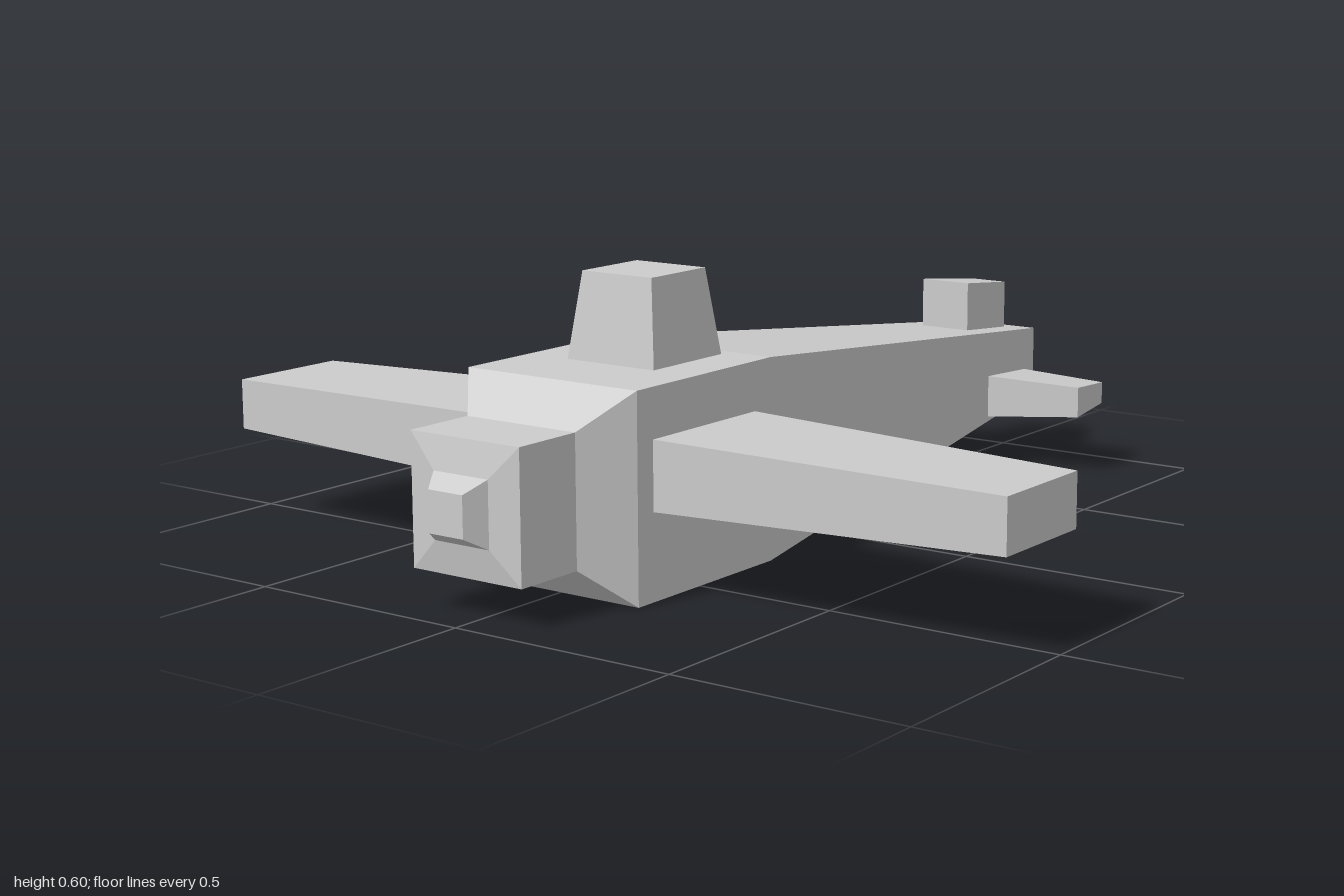
import * as THREE from 'three';

const material = new THREE.MeshStandardMaterial({ color: 0xcccccc, flatShading: true });

// Skins a row of four-cornered rings and caps both ends.
// Corners run counter-clockwise when seen from the end of the row.
function loft(name, rings) {
  const positions = [];
  const quad = (a, b, c, d) => positions.push(...a, ...b, ...c, ...a, ...c, ...d);
  for (let s = 0; s < rings.length - 1; s++) {
    for (let i = 0; i < 4; i++) {
      const j = (i + 1) % 4;
      quad(rings[s][i], rings[s][j], rings[s + 1][j], rings[s + 1][i]);
    }
  }
  const first = rings[0];
  quad(first[3], first[2], first[1], first[0]);
  quad(...rings[rings.length - 1]);

  const geometry = new THREE.BufferGeometry();
  geometry.setAttribute('position', new THREE.Float32BufferAttribute(positions, 3));
  geometry.computeVertexNormals();
  const mesh = new THREE.Mesh(geometry, material);
  mesh.name = name;
  return mesh;
}

// Upright rectangle across the body
const bodyRing = ([z, x0, x1, y0, y1]) => [[x0, y0, z], [x1, y0, z], [x1, y1, z], [x0, y1, z]];

// Wing section: rear and front edge, each as [x, z, bottom, top]
const wingRing = ([xr, zr, br, tr], [xf, zf, bf, tf]) =>
  [[xr, br, zr], [xr, tr, zr], [xf, tf, zf], [xf, bf, zf]];

// Level section: rear and front edge, each as [z, x0, x1, y]
const levelRing = ([zr, r0, r1, yr], [zf, f0, f1, yf]) =>
  [[r0, yr, zr], [f0, yf, zf], [f1, yf, zf], [r1, yr, zr]];

// Wing from root to tip; the ring order flips on the right side
function wing(name, root, tip) {
  const rings = [wingRing(...root), wingRing(...tip)];
  if (tip[0][0] < 0) rings.forEach((ring) => ring.reverse());
  return loft(name, rings);
}

export function createModel() {
  const model = new THREE.Group();
  model.name = 'airplane';

  // Fuselage, from tail to the front of the engine block
  model.add(loft('fuselage', [
    [-1.0, -0.115, 0.08, 0.135, 0.295],
    [0.26, -0.228, 0.193, 0.0, 0.422],
    [0.695, -0.228, 0.193, 0.0, 0.422],
    [0.785, -0.152, 0.116, 0.08, 0.348],
    [0.945, -0.152, 0.116, 0.08, 0.348],
    [0.958, -0.084, 0.05, 0.147, 0.281],
    [1.0, -0.06, 0.024, 0.172, 0.256],
  ].map(bodyRing)));

  // Main wings
  model.add(wing('leftWing',
    [[0.19, 0.315, 0.178, 0.32], [0.19, 0.647, 0.178, 0.32]],
    [[0.947, 0.355, 0.195, 0.305], [0.947, 0.607, 0.195, 0.305]]));
  model.add(wing('rightWing',
    [[-0.225, 0.305, 0.183, 0.32], [-0.225, 0.655, 0.183, 0.32]],
    [[-0.952, 0.342, 0.197, 0.305], [-0.952, 0.617, 0.197, 0.305]]));

  // Tailplanes
  model.add(wing('leftTailplane',
    [[0.08, -0.95, 0.135, 0.202], [0.098, -0.75, 0.12, 0.217]],
    [[0.302, -0.94, 0.145, 0.195], [0.315, -0.8, 0.135, 0.205]]));
  model.add(wing('rightTailplane',
    [[-0.115, -0.945, 0.135, 0.202], [-0.132, -0.765, 0.12, 0.215]],
    [[-0.333, -0.92, 0.147, 0.195], [-0.345, -0.785, 0.135, 0.205]]));

  // Cockpit
  model.add(loft('cockpit', [
    levelRing([0.29, -0.127, 0.092, 0.418], [0.513, -0.127, 0.092, 0.418]),
    levelRing([0.315, -0.104, 0.07, 0.6], [0.49, -0.104, 0.07, 0.6]),
  ]));

  // Tail fin
  model.add(loft('tailFin', [
    levelRing([-0.948, -0.063, 0.027, 0.29], [-0.75, -0.08, 0.043, 0.31]),
    levelRing([-0.948, -0.063, 0.027, 0.41], [-0.75, -0.08, 0.043, 0.432]),
  ]));

  return model;
}
